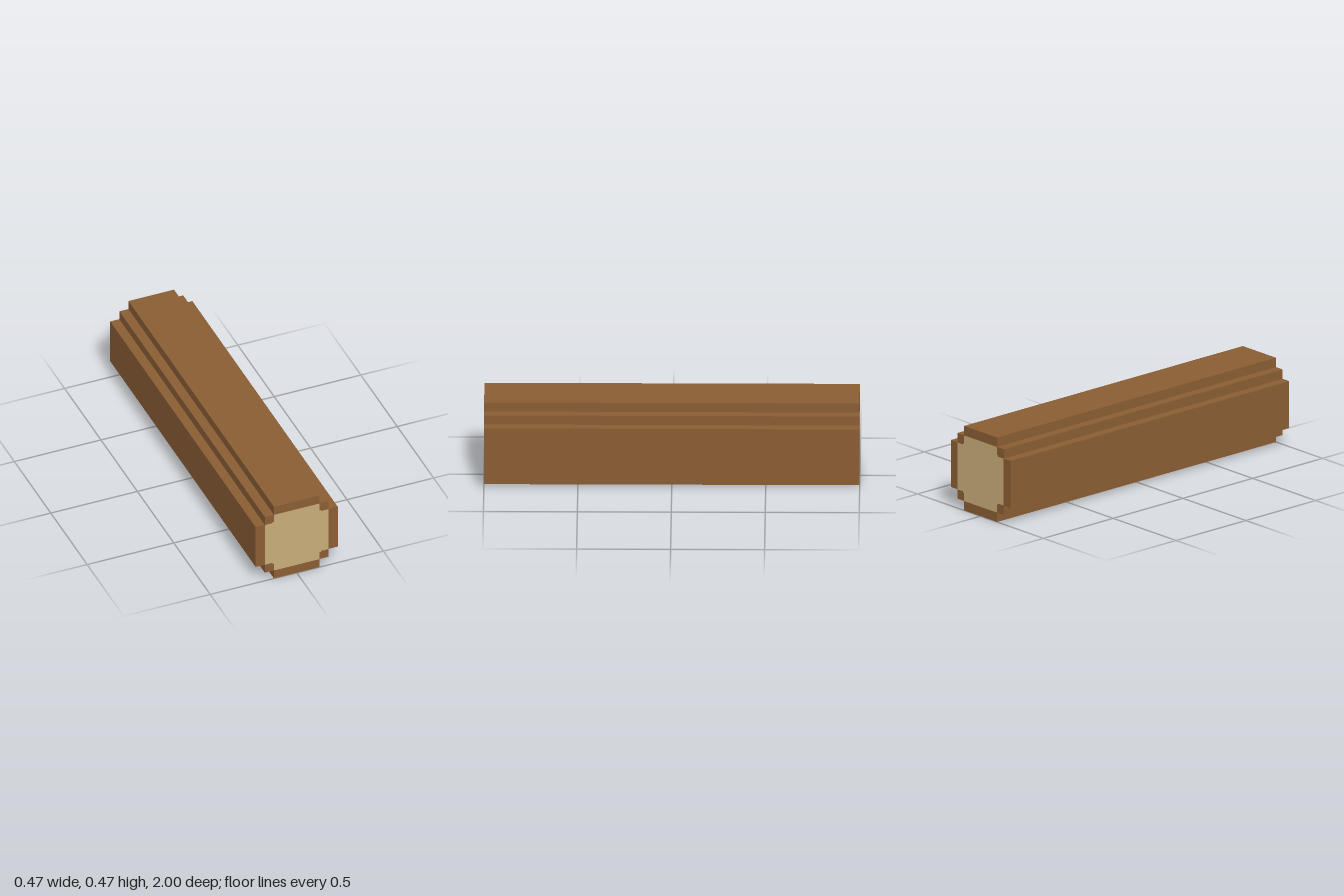
import * as THREE from 'three';

const U = 2 / 38; // one step of the stepped profile
const LENGTH = 2;
const PLATE = 0.001;

// Mirrors a quarter outline (from the right side up to the top) into a closed shape
function mirroredShape(quarter) {
  const back = [...quarter].reverse();
  const points = [
    ...quarter,
    ...back.map(([x, y]) => [-x, y]),
    ...quarter.map(([x, y]) => [-x, -y]),
    ...back.map(([x, y]) => [x, -y]),
  ];
  return new THREE.Shape(points.map(([x, y]) => new THREE.Vector2(x * U, y * U)));
}

export function createModel() {
  const bark = new THREE.MeshStandardMaterial({ color: 0x8b5e34 });
  bark.name = 'barkBrown';
  const wood = new THREE.MeshStandardMaterial({ color: 0xc8ad78 });
  wood.name = 'cutWoodTan';

  const log = new THREE.Group();
  log.name = 'log';

  // Stepped trunk running front to back
  const trunkShape = mirroredShape([[4.5, 2.5], [3.5, 2.5], [3.5, 3.5], [2.5, 3.5], [2.5, 4.5]]);
  const depth = LENGTH - 2 * PLATE;
  const trunkGeometry = new THREE.ExtrudeGeometry(trunkShape, { depth, bevelEnabled: false });
  trunkGeometry.translate(0, 0, -depth / 2);
  const trunk = new THREE.Mesh(trunkGeometry, bark);
  trunk.name = 'trunk';
  log.add(trunk);

  // Pale cut wood on both ends, with small nicks in its inner corners
  const cutShape = mirroredShape([
    [3.5, 2.4], [3.43, 2.5], [2.65, 2.5], [2.65, 2.63],
    [2.5, 2.63], [2.5, 3.43], [2.4, 3.5],
  ]);
  for (const [name, side] of [['frontCut', 1], ['backCut', -1]]) {
    const cut = new THREE.Mesh(new THREE.ShapeGeometry(cutShape), wood);
    cut.name = name;
    cut.position.z = side * LENGTH / 2;
    if (side < 0) cut.rotation.y = Math.PI;
    log.add(cut);
  }

  log.position.y = 4.5 * U;
  const model = new THREE.Group();
  model.name = 'steppedLog';
  model.add(log);
  return model;
}
